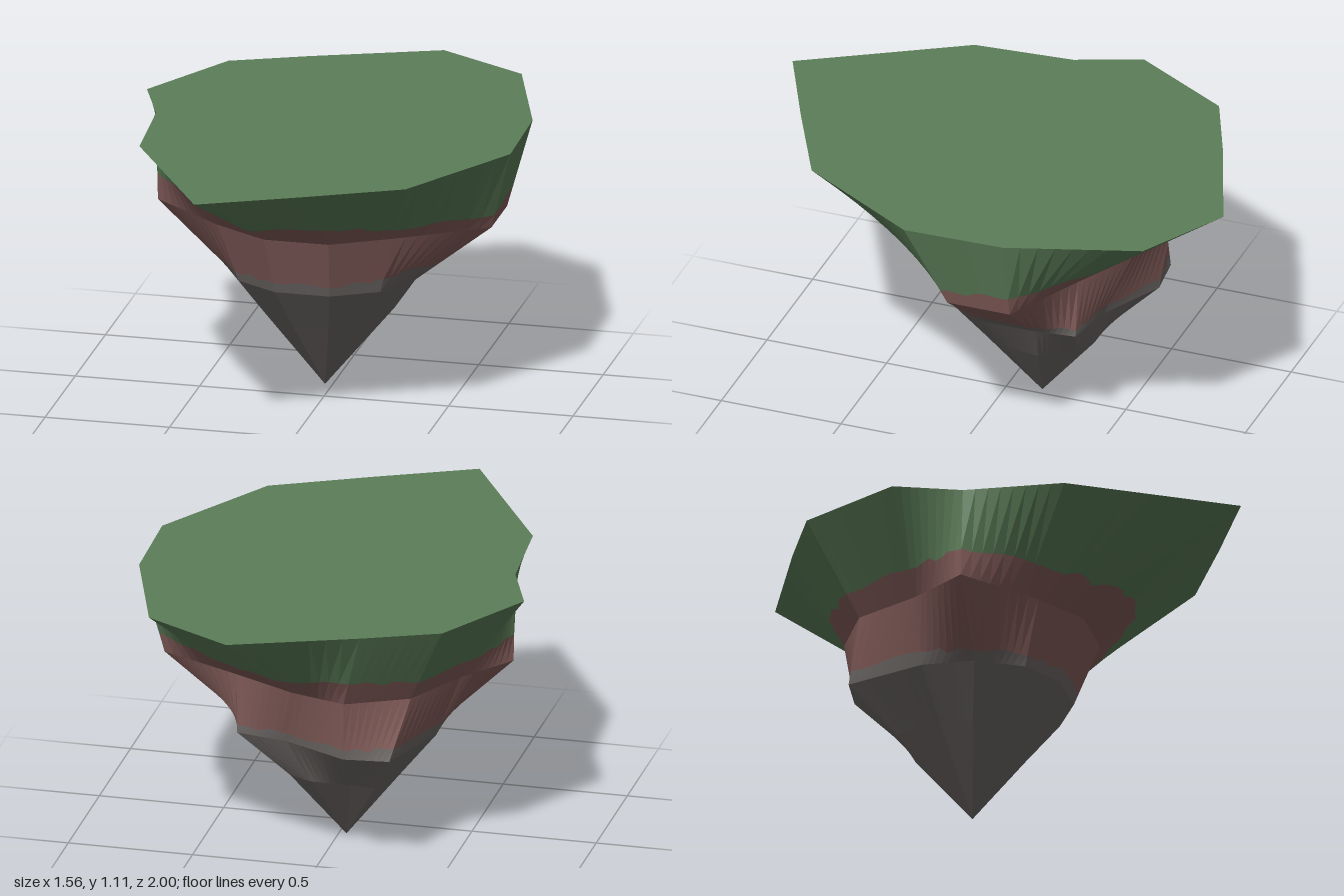
import * as THREE from 'three';

// Cross-sections as [x, z] corners, all starting at the left side and running round by the back
const SIDES = 12, STEPS = 8;
const rimXZ = [[0.78, 0.13], [0.77, -0.28], [0.6, -0.8], [0.24, -1], [-0.25, -0.81], [-0.55, -0.68],
  [-0.78, -0.28], [-0.68, -0.02], [-0.65, 0.38], [-0.28, 1], [0.1, 0.82], [0.48, 0.63]];
const waistXZ = [[0.67, -0.01], [0.67, -0.27], [0.34, -0.43], [0.09, -0.56], [-0.14, -0.63], [-0.38, -0.51],
  [-0.515, -0.25], [-0.675, -0.03], [-0.38, 0.21], [-0.16, 0.34], [0.1, 0.34], [0.33, 0.21]];
const baseXZ = [[0.36, -0.04], [0.36, -0.25], [0.34, -0.42], [0.13, -0.46], [-0.13, -0.59], [-0.31, -0.57],
  [-0.42, -0.25], [-0.41, -0.04], [-0.31, 0.14], [-0.14, 0.24], [0.08, 0.24], [0.26, 0.14]];
const tipXZ = [[0.21, -0.08], [0.23, -0.22], [0.14, -0.35], [0.05, -0.39], [-0.11, -0.39], [-0.21, -0.4],
  [-0.27, -0.21], [-0.27, -0.08], [-0.2, 0.03], [-0.1, 0.095], [0.04, 0.095], [0.15, 0.03]];

// Heights of the ragged colour borders at each corner
const grassEdge = [0.81, 0.83, 0.84, 0.84, 0.86, 0.84, 0.84, 0.86, 0.85, 0.84, 0.86, 0.81];
const earthEdge = [0.58, 0.55, 0.53, 0.54, 0.54, 0.55, 0.55, 0.53, 0.54, 0.545, 0.54, 0.56];

// A curve maps s (0 to 12) to a point on one closed cross-section
const ring = (pts, y) => (s) => {
  const i = Math.floor(s) % SIDES, j = (i + 1) % SIDES, t = s - Math.floor(s);
  return new THREE.Vector3(
    THREE.MathUtils.lerp(pts[i][0], pts[j][0], t), y,
    THREE.MathUtils.lerp(pts[i][1], pts[j][1], t));
};

// A ragged border lying on the faces between two rings
const border = (lower, upper, heights, wobble) => (s) => {
  const i = Math.floor(s) % SIDES, t = s - Math.floor(s);
  const y = THREE.MathUtils.lerp(heights[i], heights[(i + 1) % SIDES], t)
    + wobble * Math.sin(Math.PI * t) * Math.sin(s * 9.3 + Math.sin(s * 2.9) * 2);
  const a = lower(s % SIDES), b = upper(s % SIDES);
  return a.clone().lerp(b, (y - a.y) / (b.y - a.y));
};

const point = (x, y, z) => () => new THREE.Vector3(x, y, z);

// Faceted skin between a lower and an upper curve
function band(name, lower, upper, material) {
  const pos = [];
  const tri = (...corners) => corners.forEach((p) => pos.push(p.x, p.y, p.z));
  for (let k = 0; k < SIDES * STEPS; k++) {
    const s = k / STEPS, e = ((k + 1) % (SIDES * STEPS)) / STEPS;
    const a = lower(s), b = lower(e), c = upper(e), d = upper(s);
    if (a.distanceTo(b) > 1e-6) tri(a, b, c);
    if (c.distanceTo(d) > 1e-6) tri(a, c, d);
  }
  const geometry = new THREE.BufferGeometry();
  geometry.setAttribute('position', new THREE.Float32BufferAttribute(pos, 3));
  geometry.computeVertexNormals();
  const mesh = new THREE.Mesh(geometry, material);
  mesh.name = name;
  return mesh;
}

export function createModel() {
  const paint = (name, color) => {
    const m = new THREE.MeshStandardMaterial({ color, flatShading: true });
    m.name = name;
    return m;
  };
  const grass = paint('grass green', 0x5c7d58);
  const earth = paint('earth brown', 0x835d5a);
  const stone = paint('stone grey', 0x6e6967);

  const rim = ring(rimXZ, 1.11), waist = ring(waistXZ, 0.75);
  const base = ring(baseXZ, 0.5), tip = ring(tipXZ, 0.31);
  const grassLine = border(waist, rim, grassEdge, 0.013);
  const earthLine = border(base, waist, earthEdge, 0.01);

  const island = new THREE.Group();
  island.name = 'floatingIsland';
  island.add(
    // Flat meadow and its overhanging sides
    band('meadow', rim, point(0, 1.11, -0.05), grass),
    band('grassSides', grassLine, rim, grass),
    // Soil layer, bent at the waist
    band('upperEarth', waist, grassLine, earth),
    band('lowerEarth', earthLine, waist, earth),
    // Stone root tapering to a point
    band('stoneCollar', base, earthLine, stone),
    band('stoneRoot', tip, base, stone),
    band('stoneTip', point(-0.03, 0, -0.14), tip, stone),
  );
  return island;
}
